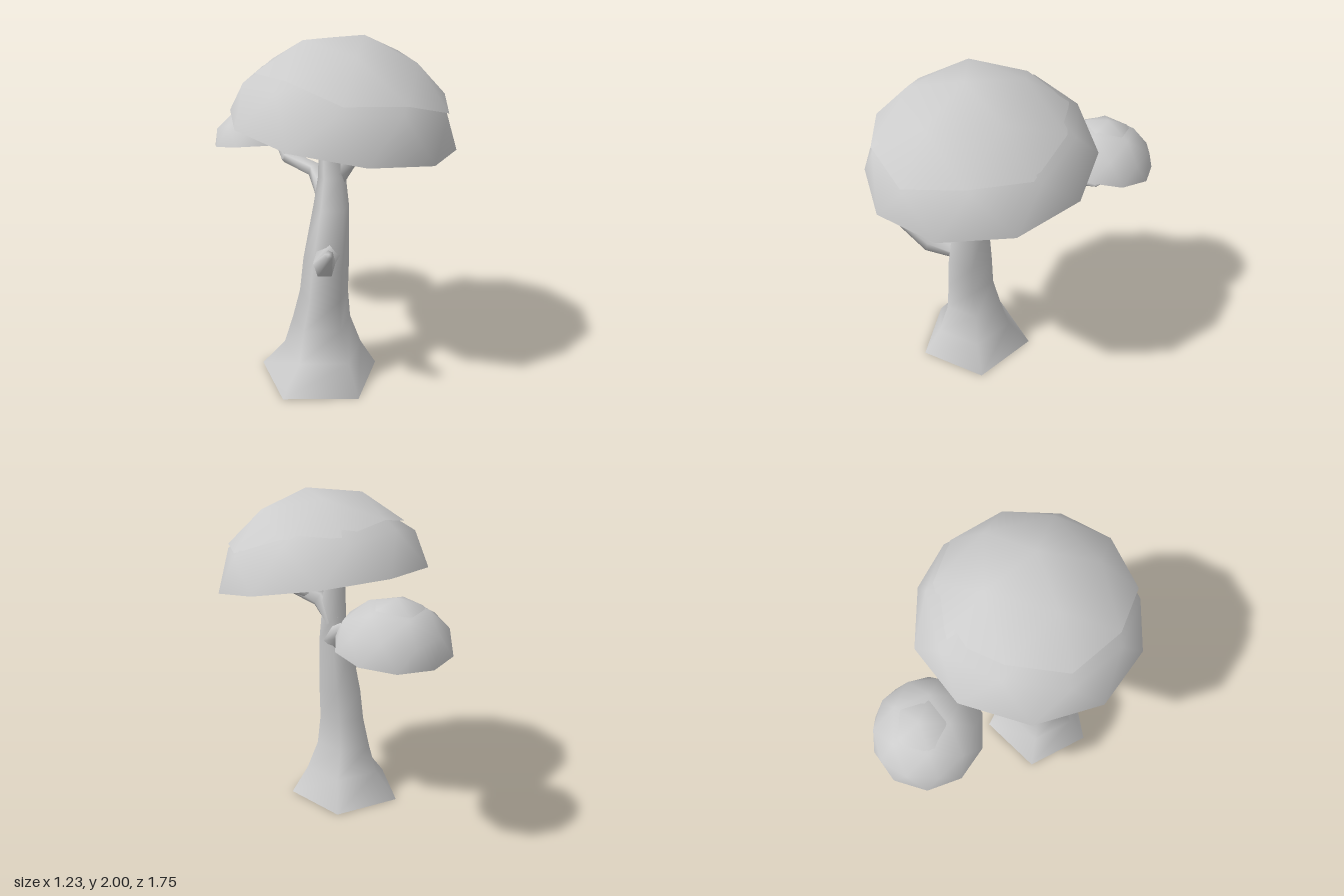
import * as THREE from 'three';

const bark = new THREE.MeshStandardMaterial({ color: 0xcccccc, side: THREE.DoubleSide });
const leaf = new THREE.MeshStandardMaterial({ color: 0xcccccc, side: THREE.DoubleSide });

function makeMesh(name, verts, index, material) {
  const geo = new THREE.BufferGeometry();
  geo.setAttribute('position', new THREE.Float32BufferAttribute(verts.flatMap(v => v.toArray()), 3));
  geo.setIndex(index);
  geo.computeVertexNormals();
  const mesh = new THREE.Mesh(geo, material);
  mesh.name = name;
  return mesh;
}

// Tapering five-sided limb through points [x, y, z, radius], closed at its tip
function limb(name, path, { sides = 5, start = 0, level = false } = {}) {
  const pts = path.map(p => new THREE.Vector3(p[0], p[1], p[2]));
  const last = pts.length - 1;
  const verts = [], index = [];
  pts.forEach((c, i) => {
    const t = level ? new THREE.Vector3(0, 1, 0)
      : pts[Math.min(i + 1, last)].clone().sub(pts[Math.max(i - 1, 0)]).normalize();
    const u = new THREE.Vector3(1, 0, 0).addScaledVector(t, -t.x).normalize();
    const v = u.clone().cross(t);
    for (let k = 0; k < sides; k++) {
      const a = start + k / sides * Math.PI * 2;
      verts.push(c.clone().addScaledVector(u, Math.cos(a) * path[i][3]).addScaledVector(v, Math.sin(a) * path[i][3]));
      const p = i * sides + k, q = i * sides + (k + 1) % sides;
      if (i < last) index.push(p, p + sides, q, q, p + sides, q + sides);
      else index.push(p, (last + 1) * sides, q);
    }
  });
  verts.push(pts[last].clone());
  return makeMesh(name, verts, index, bark);
}

// Faceted dome: apex, ring of 5, ring of 10 and, for a full half, an equator of 10.
// slope gives the x and z lean of the dome's axis.
function dome(name, [x, y, z], radius, height, [sx, sz], half) {
  const verts = [], index = [];
  const add = (r, h, deg) => {
    const a = THREE.MathUtils.degToRad(deg);
    verts.push(new THREE.Vector3(r * radius * Math.cos(a), h * height, r * radius * Math.sin(a)));
  };
  add(0, 1, 0);
  for (let k = 0; k < 5; k++) add(0.526, 0.851, k * 72);
  for (let k = 0; k < 10; k++) add(k % 2 ? 0.851 : 0.894, k % 2 ? 0.526 : 0.447, k * 36);
  if (half) for (let k = 0; k < 10; k++) add(1, 0, 18 + k * 36);
  const P = k => 1 + k % 5, Q = k => 6 + k % 10, E = k => 16 + k % 10;
  for (let k = 0; k < 5; k++) {
    index.push(0, P(k + 1), P(k));
    index.push(P(k), Q(2 * k + 1), Q(2 * k));
    index.push(P(k), P(k + 1), Q(2 * k + 1));
    index.push(P(k + 1), Q(2 * k + 2), Q(2 * k + 1));
  }
  if (half) for (let k = 0; k < 10; k++) {
    index.push(Q(k), Q(k + 1), E(k));
    index.push(Q(k + 1), E(k + 1), E(k));
  }
  const mesh = makeMesh(name, verts, index, leaf);
  mesh.quaternion.setFromUnitVectors(new THREE.Vector3(0, 1, 0), new THREE.Vector3(sx, 1, sz).normalize());
  mesh.position.set(x, y, z);
  return mesh;
}

export function createModel() {
  const tree = new THREE.Group();
  tree.name = 'tree';

  // Flared trunk, open at the foot
  tree.add(limb('trunk', [
    [-0.157, 0, 0.222, 0.367], [-0.147, 0.17, 0.24, 0.243], [-0.15, 0.35, 0.232, 0.18],
    [-0.148, 0.53, 0.248, 0.149], [-0.135, 0.73, 0.252, 0.14], [-0.1, 1.05, 0.255, 0.107],
    [-0.075, 1.22, 0.235, 0.082], [-0.06, 1.42, 0.205, 0.07], [-0.04, 1.68, 0.17, 0.05],
  ], { start: -Math.PI / 4, level: true }));

  // Broken side branch
  tree.add(limb('sideBranch', [[-0.13, 0.79, 0.27, 0.075], [-0.33, 0.8, 0.42, 0.064], [-0.435, 0.938, 0.55, 0.024]]));

  // Rear branch and its twigs under the small canopy
  tree.add(limb('rearBranch', [
    [-0.07, 1.08, 0.22, 0.075], [0.02, 1.195, 0.01, 0.047], [0.07, 1.215, -0.27, 0.042], [0.1, 1.2, -0.34, 0.025],
  ]));
  tree.add(limb('rearTwig', [[0.08, 1.205, -0.29, 0.025], [0.22, 1.187, -0.43, 0.018], [0.32, 1.3, -0.53, 0.012]]));
  tree.add(limb('rearTwig', [[0.07, 1.21, -0.29, 0.03], [0.07, 1.29, -0.36, 0.018], [0.08, 1.38, -0.42, 0.012]]));

  // Front limb and its twig under the main canopy
  tree.add(limb('frontLimb', [
    [-0.07, 1.2, 0.23, 0.07], [-0.01, 1.33, 0.31, 0.055], [0.14, 1.41, 0.49, 0.03], [0.4, 1.53, 0.58, 0.014],
  ]));
  tree.add(limb('frontTwig', [[0.02, 1.35, 0.35, 0.03], [0.2, 1.42, 0.38, 0.02], [0.33, 1.53, 0.42, 0.012]]));

  // Canopies: an open half dome with a shallower cap overlapping it
  tree.add(dome('mainCanopy', [0, 1.478, 0.235], 0.645, 0.46, [0.05, 0.147], true));
  tree.add(dome('mainCanopyCap', [0, 1.488, 0.265], 0.613, 0.52, [0.09, 0.16], false));
  tree.add(dome('smallCanopy', [0.11, 1.258, -0.56], 0.318, 0.25, [0.06, -0.15], true));
  tree.add(dome('smallCanopyCap', [0.1, 1.265, -0.565], 0.25, 0.258, [0.06, -0.1], false));

  return tree;
}
